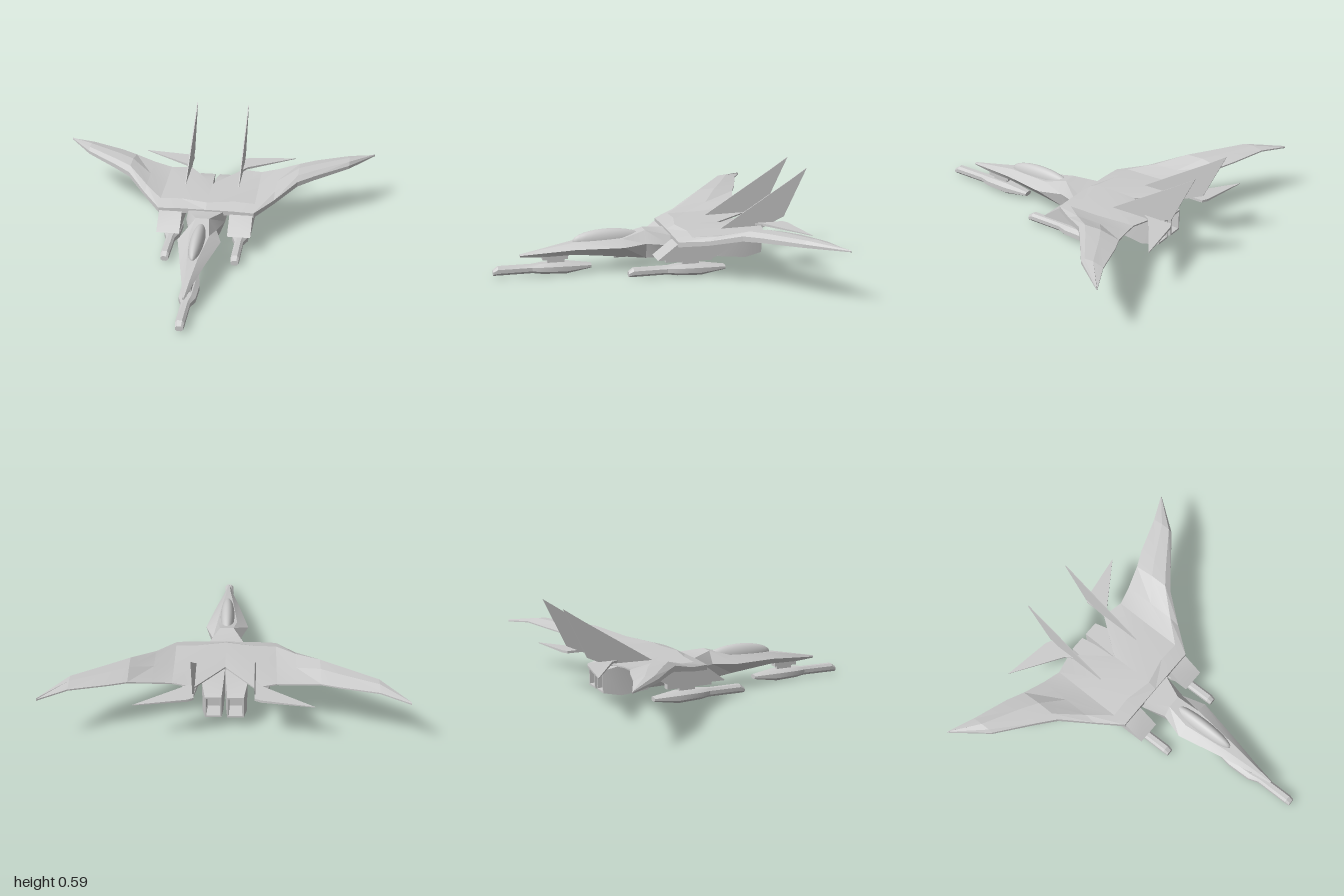
import * as THREE from 'three';
import { toCreasedNormals } from 'three/addons/utils/BufferGeometryUtils.js';

const material = new THREE.MeshStandardMaterial({ color: 0xcccccc, side: THREE.DoubleSide });

// Closed skin through rings of equal point count, capped at both ends and wound outwards.
function loft(rings, crease = 0.35) {
  const n = rings[0].length;
  const pos = rings.flat();
  const tris = [];
  for (let r = 0; r < rings.length - 1; r++) {
    for (let i = 0; i < n; i++) {
      const j = (i + 1) % n, a = r * n, b = a + n;
      tris.push([a + i, a + j, b + j], [a + i, b + j, b + i]);
    }
  }
  [0, rings.length - 1].forEach((r) => {
    const mid = [0, 1, 2].map((k) => rings[r].reduce((s, p) => s + p[k], 0) / n);
    const c = pos.push(mid) - 1;
    for (let i = 0; i < n; i++) {
      const a = r * n + i, b = r * n + (i + 1) % n;
      tris.push(r ? [a, b, c] : [b, a, c]);
    }
  });
  const v = pos.map((p) => new THREE.Vector3(...p));
  const volume = tris.reduce((s, [a, b, c]) => s + v[a].dot(v[b].clone().cross(v[c])), 0);
  if (volume < 0) tris.forEach((t) => t.reverse());
  const geo = new THREE.BufferGeometry();
  geo.setAttribute('position', new THREE.Float32BufferAttribute(pos.flat(), 3));
  geo.setIndex(tris.flat());
  return toCreasedNormals(geo, crease);
}

// Rectangle in x and y at a given z.
const rect = (x0, x1, y0, y1, z) => [[x0, y0, z], [x1, y0, z], [x1, y1, z], [x0, y1, z]];

// Eight-sided pod section.
function octagon(z, w, y0, y1) {
  const c = w * 0.5, h = (y1 - y0) * 0.28;
  return [[-c, y0], [c, y0], [w, y0 + h], [w, y1 - h], [c, y1], [-c, y1], [-w, y1 - h], [-w, y0 + h]]
    .map(([x, y]) => [x, y, z]);
}

export function createModel() {
  const model = new THREE.Group();
  const add = (name, geo, parent = model) => {
    const mesh = new THREE.Mesh(geo, material);
    mesh.name = name;
    parent.add(mesh);
    return mesh;
  };

  // Fuselage: z, then half width and height of top, chine and belly
  const body = [
    [0.77, 0.003, 0.13, 0.008, 0.123, 0.004, 0.115],
    [0.64, 0.012, 0.155, 0.03, 0.135, 0.02, 0.11],
    [0.45, 0.03, 0.19, 0.07, 0.155, 0.045, 0.12],
    [0.17, 0.06, 0.202, 0.128, 0.165, 0.06, 0.095],
    [0.03, 0.04, 0.242, 0.085, 0.17, 0.07, 0.08],
    [-0.11, 0.105, 0.22, 0.12, 0.16, 0.09, 0.082],
    [-0.43, 0.11, 0.245, 0.125, 0.18, 0.09, 0.075],
  ];
  add('fuselage', loft(body.map(([z, a, ya, b, yb, c, yc]) =>
    [[-a, ya, z], [a, ya, z], [b, yb, z], [c, yc, z], [-c, yc, z], [-b, yb, z]])));

  // Canopy
  const canopy = add('canopy', new THREE.SphereGeometry(1, 24, 16));
  canopy.scale.set(0.043, 0.068, 0.215);
  canopy.position.set(0, 0.188, 0.245);

  // Wing stations: x, leading z, trailing z, leading bottom y, leading top y, crown y, trailing y
  const wing = [
    [0, -0.11, -0.43, 0.2, 0.23, 0.255, 0.255],
    [0.165, -0.11, -0.65, 0.2, 0.23, 0.255, 0.262],
    [0.29, -0.11, -0.62, 0.195, 0.225, 0.25, 0.268],
    [0.4, -0.255, -0.645, 0.225, 0.25, 0.278, 0.285],
    [0.53, -0.42, -0.685, 0.275, 0.305, 0.332, 0.312],
    [0.63, -0.5, -0.73, 0.288, 0.315, 0.338, 0.322],
    [0.84, -0.66, -0.8, 0.308, 0.328, 0.347, 0.335],
    [1, -0.868, -0.875, 0.314, 0.318, 0.321, 0.318],
  ];

  // Weapon pod: barrel widening into a body, z measured from the pod centre
  const podGeo = loft([
    octagon(0.29, 0.022, 0.015, 0.045), octagon(0.262, 0.026, 0.015, 0.066),
    octagon(0.06, 0.026, 0.016, 0.066), octagon(0.0, 0.048, 0.01, 0.072),
    octagon(-0.14, 0.05, 0.004, 0.072), octagon(-0.29, 0.026, 0.026, 0.052),
  ]);
  function addPod(name, x, z, plateFront, plateRear) {
    const pod = new THREE.Group();
    pod.name = name;
    pod.position.set(x, 0, z);
    model.add(pod);
    add('podBody', podGeo, pod);
    add('neck', loft([rect(-0.012, 0.012, 0.06, 0.1, -0.03), rect(-0.012, 0.012, 0.06, 0.1, -0.13)]), pod);
    add('mountPlate', loft([
      rect(-0.022, 0.022, 0.09, 0.125, plateFront), rect(-0.022, 0.022, 0.09, 0.125, plateRear)]), pod);
  }
  addPod('nosePod', 0, 0.64, 0.0, -0.15);

  for (const s of [1, -1]) {
    const side = s > 0 ? 'left' : 'right';
    const flip = (rings) => rings.map((ring) => ring.map(([x, y, z]) => [x * s, y, z]));

    // Wing half with a bevelled leading edge
    add(side + 'Wing', loft(flip(wing.map(([x, zl, zt, yb, yl, yc, yt]) => {
      const z = (f) => zl + (zt - zl) * f;
      return [[x, yb, zl], [x, yl, zl], [x, yc, z(0.16)], [x, yc + 0.003, z(0.55)],
        [x, yt, zt], [x, yt - 0.008, zt], [x, yb + (yt - yb) * 0.45 - 0.003, z(0.5)]];
    })), 0.15));

    // Engine with a hollow nozzle
    add(side + 'Engine', loft(flip([
      rect(0, 0.12, 0.075, 0.24, -0.4), rect(0.008, 0.126, 0.06, 0.235, -0.57),
      rect(0.016, 0.108, 0.08, 0.21, -0.675), rect(0.024, 0.1, 0.09, 0.2, -0.675),
      rect(0.028, 0.096, 0.095, 0.195, -0.58),
    ])));

    // Intake: slanted mouth, flat floor, tail rising into the wing
    const intake = [[0.205, -0.1], [0.12, 0.01], [0.12, -0.33], [0.24, -0.55], [0.24, -0.2]];
    add(side + 'Intake', loft(flip([0.145, 0.285].map((x) => intake.map(([y, z]) => [x, y, z])))));

    // Tail fin
    const fin = [[0.25, -0.385], [0.52, -0.81], [0.597, -0.925], [0.31, -0.79], [0.25, -0.66]];
    add(side + 'Fin', loft(flip([0.164, 0.17].map((x) => fin.map(([y, z]) => [x, y, z])))));

    // Tailplane
    const tailplane = [[0.165, -0.6], [0.19, -0.65], [0.49, -0.85], [0.2, -0.803], [0.165, -0.785]];
    add(side + 'Tailplane', loft(flip([0.266, 0.28].map((y) =>
      tailplane.map(([x, z]) => [x, x > 0.4 ? 0.272 + (y - 0.273) * 0.3 : y, z])))));

    addPod(side + 'Pod', 0.21 * s, -0.122, 0.07, -0.21);
  }
  return model;
}
